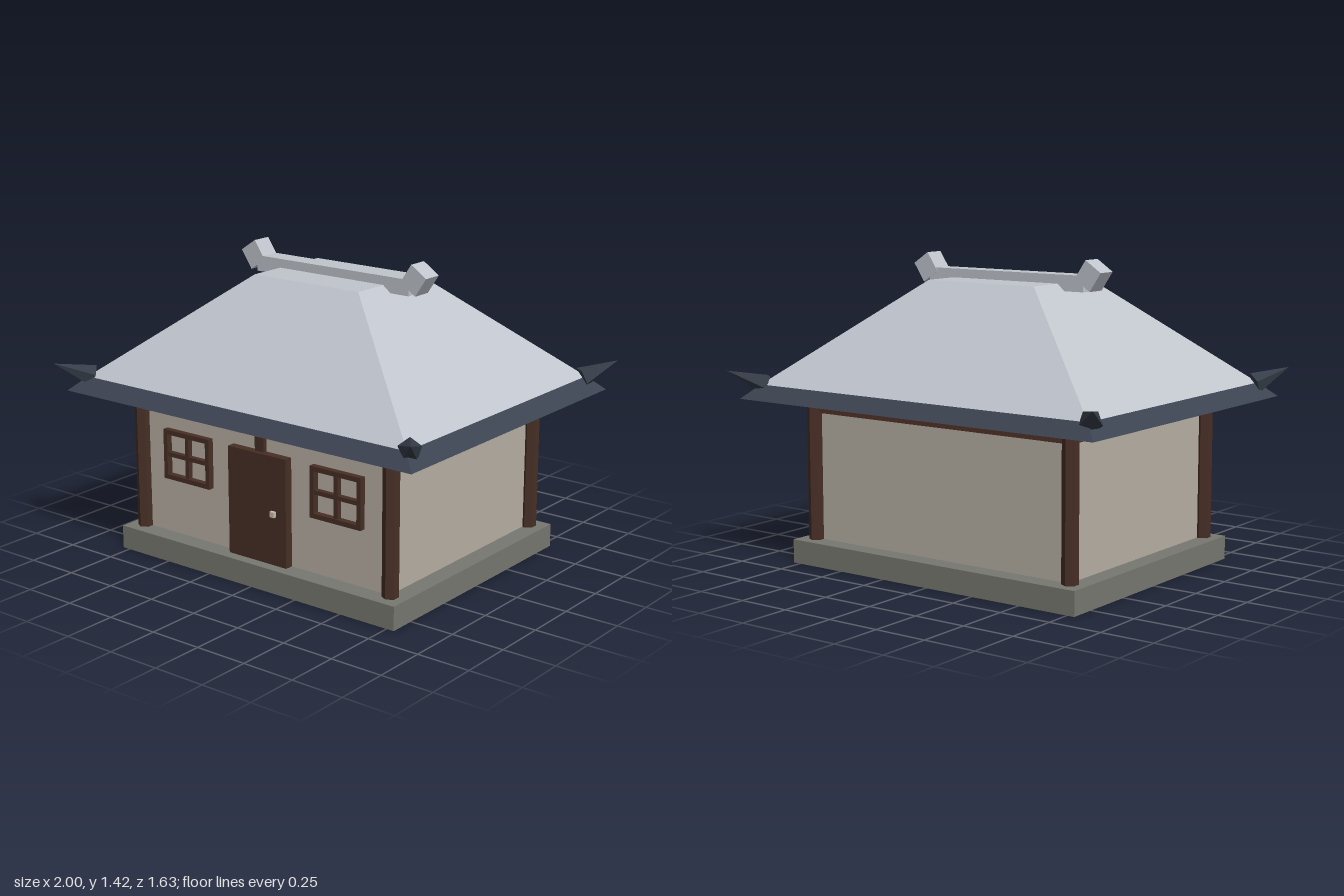
import * as THREE from 'three';

const mat = (name, color) => {
  const m = new THREE.MeshStandardMaterial({ color });
  m.name = name;
  return m;
};

export function createModel() {
  const house = new THREE.Group();
  house.name = 'house';
  const stone = mat('stone', 0x787872);
  const plaster = mat('plaster', 0xb8b0a4);
  const wood = mat('dark wood', 0x472f25);
  const beamWood = mat('beam wood', 0x51322a);
  const tile = mat('pale roof', 0xc0c5cd);
  const eaveMat = mat('dark eave', 0x3c4351);
  const hornMat = mat('corner horn', 0x353d48);
  const brass = mat('knob', 0xc8bcaa);

  const add = (name, geo, material, x = 0, y = 0, z = 0, parent = house) => {
    const m = new THREE.Mesh(geo, material);
    m.name = name;
    m.position.set(x, y, z);
    parent.add(m);
    return m;
  };
  const box = (name, w, h, d, material, x, y, z, parent) =>
    add(name, new THREE.BoxGeometry(w, h, d), material, x, y, z, parent);

  // Box whose top face is scaled to a smaller rectangle (half sizes)
  const frustum = (x0, z0, x1, z1, h) => {
    const g = new THREE.BoxGeometry(2, h, 2);
    const p = g.attributes.position;
    for (let i = 0; i < p.count; i++) {
      const top = p.getY(i) > 0;
      p.setX(i, p.getX(i) * (top ? x1 : x0));
      p.setZ(i, p.getZ(i) * (top ? z1 : z0));
    }
    g.computeVertexNormals();
    return g;
  };

  // Base and walls
  box('foundation', 1.575, 0.11, 1.25, stone, 0, 0.055, 0);
  box('walls', 1.4, 0.66, 1.07, plaster, 0, 0.44, 0);

  // Six-sided corner posts and top beams
  const postGeo = new THREE.CylinderGeometry(0.037, 0.037, 0.66, 6).toNonIndexed();
  postGeo.computeVertexNormals();
  for (const sx of [-1, 1]) {
    for (const sz of [-1, 1]) add('cornerPost', postGeo, wood, sx * 0.712, 0.44, sz * 0.547);
    box('sideBeam', 0.05, 0.065, 1.09, beamWood, sx * 0.695, 0.7375, 0);
    box('crossBeam', 1.42, 0.065, 0.05, beamWood, 0, 0.7375, sx * 0.53);
  }

  // Door with knob and the short stud above it
  box('door', 0.33, 0.505, 0.05, wood, 0, 0.3625, 0.55);
  box('doorKnob', 0.025, 0.025, 0.02, brass, 0.098, 0.352, 0.582);
  box('doorStud', 0.05, 0.1, 0.04, wood, 0, 0.655, 0.535);

  // Four-pane windows
  for (const sx of [-1, 1]) {
    const win = new THREE.Group();
    win.name = 'window';
    win.position.set(sx * 0.428, 0.495, 0.545);
    house.add(win);
    for (const s of [-1, 1]) {
      box('frameRail', 0.275, 0.022, 0.04, wood, 0, s * 0.107, 0, win);
      box('frameStile', 0.022, 0.192, 0.04, wood, s * 0.1265, 0, 0, win);
    }
    box('muntinUpright', 0.02, 0.192, 0.03, wood, 0, 0, 0, win);
    box('muntinBar', 0.231, 0.02, 0.03, wood, 0, 0, 0, win);
  }

  // Hipped roof with a dark eave
  add('eave', frustum(0.97, 0.768, 0.9, 0.703, 0.065), eaveMat, 0, 0.8025, 0);
  add('roof', frustum(0.9, 0.703, 0.293, 0.227, 0.477), tile, 0, 1.0735, 0);

  // Ridge bar with tilted end blocks
  box('ridgeBar', 0.86, 0.073, 0.094, tile, 0, 1.3165, 0);
  for (const sx of [-1, 1]) {
    box('ridgeEnd', 0.096, 0.103, 0.096, tile, sx * 0.455, 1.353, 0).rotation.z = -sx * 0.59;
  }

  // Upturned horns at the roof corners
  const up = new THREE.Vector3(0, 1, 0);
  for (const sx of [-1, 1]) for (const sz of [-1, 1]) {
    const base = new THREE.Vector3(sx * 0.895, 0.833, sz * 0.675);
    const dir = new THREE.Vector3(sx, 0.903, sz * 0.817).sub(base);
    const g = new THREE.ConeGeometry(0.052, dir.length(), 5).toNonIndexed();
    g.computeVertexNormals();
    const horn = add('cornerHorn', g, hornMat);
    horn.position.copy(base).addScaledVector(dir, 0.5);
    horn.quaternion.setFromUnitVectors(up, dir.normalize());
  }
  return house;
}
